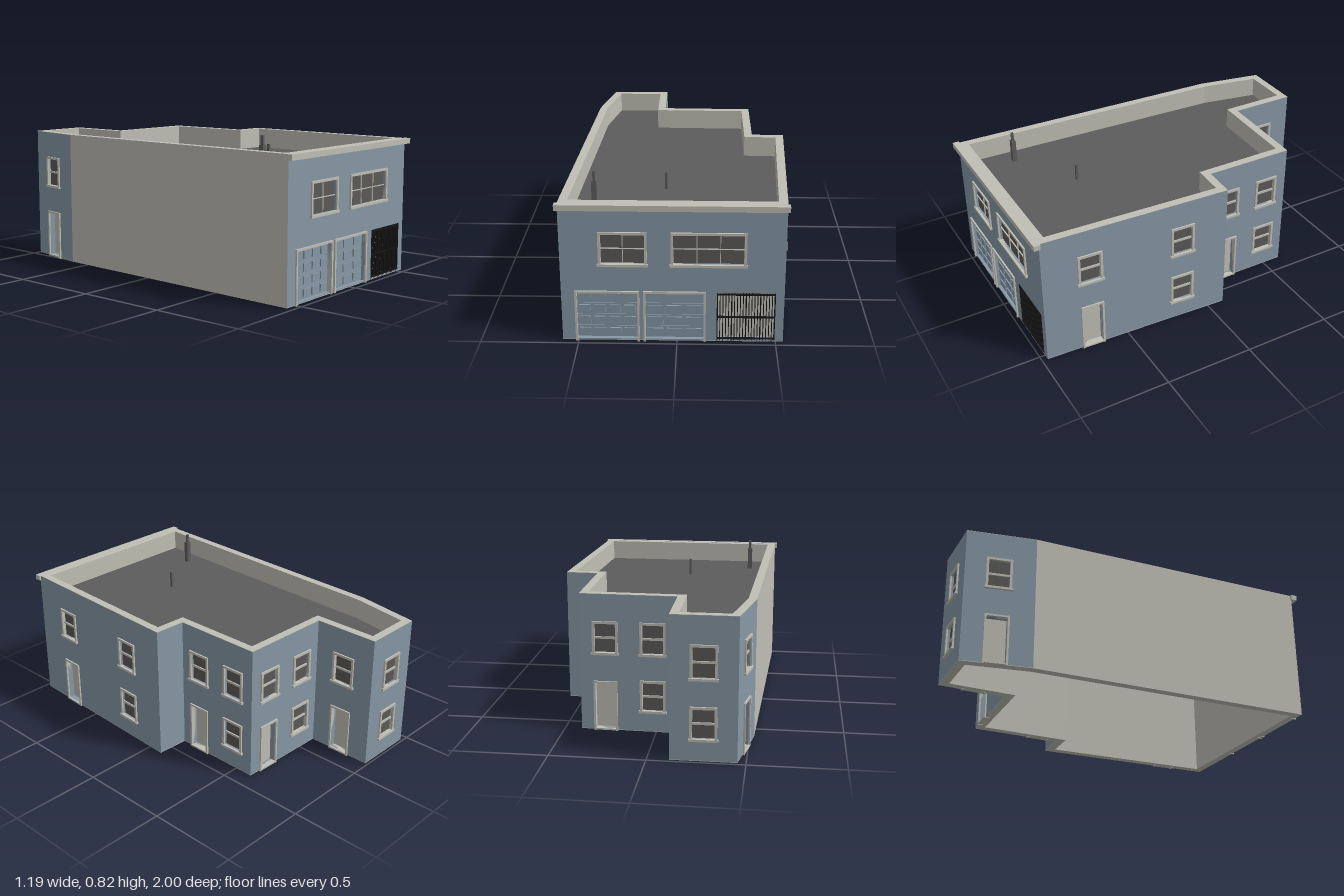
import * as THREE from 'three';

const mat = (name, color, side = THREE.FrontSide) => {
  const m = new THREE.MeshStandardMaterial({ color, side });
  m.name = name;
  return m;
};
const blue = mat('blue wall', 0x8798a6);
const beige = mat('beige trim', 0xc0bfb5);
const dark = mat('dark roof', 0x5c5c5c);
const glass = mat('window glass', 0x5c5a58);
const black = mat('black iron', 0x161616);

const BASE = 0.006, TOP = 0.755, ROOF = 0.64, THICK = 0.04;

// Footprint corners [x, z], running left to right as seen from outside
const plan = [
  [-0.582, 0.97], [0.538, 0.97], [0.587, -0.095], [0.407, -0.102], [0.407, -0.608],
  [-0.115, -0.62], [-0.115, -0.988], [-0.457, -0.988], [-0.525, -0.62],
].map(([x, z]) => new THREE.Vector2(x, z));

// Footprint moved inwards by a distance, with mitred corners
function inset(d) {
  const n = plan.length;
  return plan.map((p, i) => {
    const a = p.clone().sub(plan[(i + n - 1) % n]).normalize();
    const b = plan[(i + 1) % n].clone().sub(p).normalize();
    const na = new THREE.Vector2(a.y, -a.x), nb = new THREE.Vector2(b.y, -b.x);
    return p.clone().add(na.clone().add(nb).multiplyScalar(d / (1 + na.dot(nb))));
  });
}

function add(parent, name, geo, material) {
  const m = new THREE.Mesh(geo, material);
  m.name = name;
  parent.add(m);
  return m;
}

// Box given by its limits
function box(parent, name, material, x0, x1, y0, y1, z0, z1) {
  const m = add(parent, name, new THREE.BoxGeometry(x1 - x0, y1 - y0, z1 - z0), material);
  m.position.set((x0 + x1) / 2, (y0 + y1) / 2, (z0 + z1) / 2);
  return m;
}

// Horizontal slab between two heights from a plan outline, optionally hollow
function slab(parent, name, material, outer, inner, y0, y1) {
  const flip = (pts) => pts.map((p) => new THREE.Vector2(p.x, -p.y));
  const s = new THREE.Shape(flip(outer));
  if (inner) s.holes.push(new THREE.Path(flip(inner)));
  const g = new THREE.ExtrudeGeometry(s, { depth: y1 - y0, bevelEnabled: false });
  g.rotateX(-Math.PI / 2).translate(0, y0, 0);
  return add(parent, name, g, material);
}

// Casing on the two sides and the top of an opening
function casing(g, x0, x1, y0, y1, w) {
  box(g, 'casingLeft', beige, x0 - w, x0, y0, y1, -0.02, 0.009);
  box(g, 'casingRight', beige, x1, x1 + w, y0, y1, -0.02, 0.009);
  box(g, 'casingTop', beige, x0 - w, x1 + w, y1, y1 + w, -0.02, 0.009);
}

// Window with a casing, a sill and a grid of panes
function windowUnit(g, o) {
  const { x0, x1, y0, y1, cols, rows, bar } = o;
  box(g, 'glass', glass, x0, x1, y0, y1, -0.02, -0.012);
  casing(g, x0, x1, y0, y1, 0.013);
  box(g, 'sill', beige, x0 - 0.019, x1 + 0.019, y0 - 0.013, y0, -0.02, 0.014);
  for (let i = 1; i < cols; i++) {
    const x = x0 + (x1 - x0) * i / cols;
    box(g, 'mullion', beige, x - 0.002, x + 0.002, y0, y1, -0.012, -0.006);
  }
  for (let j = 1; j < rows; j++) {
    const y = y0 + (y1 - y0) * j / rows;
    box(g, 'meetingRail', beige, x0, x1, y - bar / 2, y + bar / 2, -0.012, -0.005);
  }
}

function doorUnit(g, { x0, x1, y0, y1 }) {
  box(g, 'doorLeaf', beige, x0, x1, y0, y1, -0.039, -0.032);
  casing(g, x0, x1, 0, y1, 0.011);
  box(g, 'threshold', beige, x0, x1, 0.003, y0, -0.03, 0.01);
}

// Sectional garage door: four leaves with raised panels
function garageUnit(g, { x0, x1, y0, y1, cols }) {
  casing(g, x0, x1, 0, y1, 0.011);
  box(g, 'doorBacking', blue, x0, x1, y0, y1, -0.035, -0.024);
  const h = (y1 - y0) / 4, w = (x1 - x0) / cols;
  for (let r = 0; r < 4; r++) {
    const y = y0 + r * h;
    box(g, 'doorSection', blue, x0, x1, y + 0.001, y + h - 0.001, -0.024, -0.02);
    for (let c = 0; c < cols; c++) {
      const x = x0 + c * w;
      box(g, 'doorPanel', blue, x + 0.009, x + w - 0.009, y + 0.012, y + h - 0.012, -0.02, -0.013);
    }
  }
}

// Iron gate in front of an entry recess
function gateUnit(g, { x0, x1, y0, y1 }) {
  box(g, 'entryBack', beige, x0, x1, y0, y1, -0.039, -0.036);
  const n = 20;
  for (let i = 0; i <= n; i++) {
    const r = i % 5 ? 0.002 : 0.003, x = x0 + r + (x1 - x0 - 2 * r) * i / n;
    box(g, 'gateBar', black, x - r, x + r, 0.004, y1, -0.006, 0);
  }
  for (const y of [0.019, 0.141, 0.268])
    box(g, 'gateRail', black, x0, x1, y - 0.004, y + 0.004, -0.007, 0.002);
}

const units = { window: windowUnit, door: doorUnit, garage: garageUnit, gate: gateUnit };
const sash = (c, low) => ({ type: 'window', x0: c - 0.056, x1: c + 0.056, y0: low ? 0.122 : 0.437, y1: low ? 0.276 : 0.594, cols: 1, rows: 2, bar: 0.012 });
const door = (c) => ({ type: 'door', x0: c - 0.054, x1: c + 0.054, y0: 0.012, y1: 0.266 });

// Openings by wall; x runs along the wall from its left end
const F = 0.582;
const openings = {
  0: [
    { type: 'window', x0: F - 0.377, x1: F - 0.161, y0: 0.434, y1: 0.592, cols: 2, rows: 2, bar: 0.004 },
    { type: 'window', x0: F - 0.018, x1: F + 0.332, y0: 0.434, y1: 0.592, cols: 3, rows: 2, bar: 0.004 },
    { type: 'garage', x0: F - 0.504, x1: F - 0.2, y0: 0.012, y1: 0.272, cols: 4 },
    { type: 'garage', x0: F - 0.159, x1: F + 0.134, y0: 0.012, y1: 0.272, cols: 3 },
    { type: 'gate', x0: F + 0.2, x1: F + 0.495, y0: 0.012, y1: 0.278 },
  ],
  1: [sash(0.265), door(0.268), sash(0.8), sash(0.8, true)],
  3: [sash(0.123), door(0.123), sash(0.373), sash(0.373, true)],
  4: [sash(0.135), door(0.135), sash(0.39), sash(0.39, true)],
  5: [sash(0.18), door(0.18)],
  6: [sash(0.171), sash(0.171, true)],
  7: [sash(0.18), door(0.18)],
};
const wallNames = ['frontWall', 'leftSideWall', 'firstStepWall', 'middleSideWall', 'secondStepWall',
  'wingSideWall', 'backWall', 'angledWall', 'partyWall'];

function wall(i, innerPlan) {
  const n = plan.length, p = plan[i], q = plan[(i + 1) % n];
  const d = q.clone().sub(p), L = d.length();
  d.normalize();
  const g = new THREE.Group();
  g.name = wallNames[i];
  g.position.set(p.x, 0, p.y);
  g.rotation.y = Math.atan2(-d.y, d.x);

  const rect = (C, x0, x1, y0, y1) => new C([[x0, y0], [x1, y0], [x1, y1], [x0, y1]].map((v) => new THREE.Vector2(...v)));
  const shape = rect(THREE.Shape, 0, L, BASE, TOP - 0.002);
  const list = openings[i] || [];
  for (const o of list) shape.holes.push(rect(THREE.Path, o.x0, o.x1, o.y0, o.y1));
  const geo = new THREE.ExtrudeGeometry(shape, { depth: THICK, bevelEnabled: false });
  geo.translate(0, 0, -THICK);

  // Mitre the inner edges so neighbouring walls meet
  const pos = geo.attributes.position;
  const start = innerPlan[i].clone().sub(p).dot(d), end = innerPlan[(i + 1) % n].clone().sub(p).dot(d);
  for (let k = 0; k < pos.count; k++) {
    if (pos.getZ(k) > -THICK / 2) continue;
    if (pos.getX(k) < 1e-4) pos.setX(k, start);
    else if (pos.getX(k) > L - 1e-4) pos.setX(k, end);
  }
  geo.computeVertexNormals();
  add(g, 'wallFace', geo, i === 8 ? beige : blue);

  for (const o of list) {
    const u = new THREE.Group();
    u.name = o.type;
    units[o.type](u, o);
    g.add(u);
  }
  return g;
}

export function createModel() {
  const model = new THREE.Group();
  model.name = 'building';
  const mid = inset(THICK), inner = inset(THICK + 0.005);
  plan.forEach((_, i) => model.add(wall(i, mid)));

  // Inner lining, wall caps and roof deck
  slab(model, 'wallLining', beige, mid, inner, BASE, TOP - 0.002);
  slab(model, 'parapetCap', beige, plan, inner, TOP - 0.002, TOP);
  slab(model, 'wallFooting', beige, plan, inner, BASE - 0.003, BASE);
  slab(model, 'roofDeck', dark, inner, null, ROOF - 0.015, ROOF);

  // Front cornice
  box(model, 'cornice', beige, -0.595, 0.548, 0.726, TOP + 0.001, 0.964, 1.0);

  // Roof vents
  box(model, 'ventBase', dark, -0.442, -0.416, ROOF, 0.771, 0.688, 0.714);
  box(model, 'ventPipe', dark, -0.435, -0.422, 0.771, 0.82, 0.694, 0.708);
  box(model, 'smallVent', dark, -0.076, -0.063, ROOF, 0.735, 0.469, 0.482);
  return model;
}
